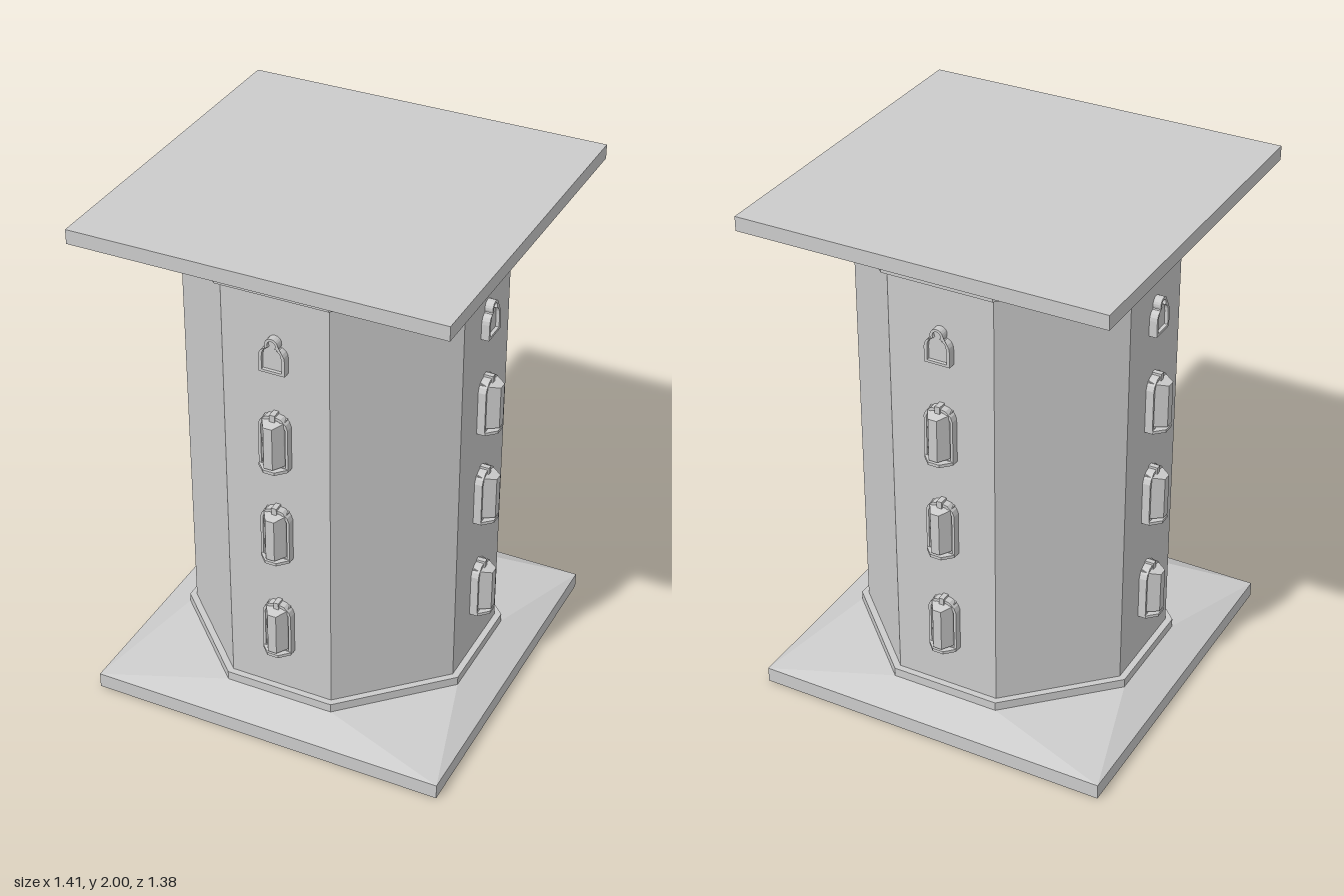
import * as THREE from 'three';

const mat = new THREE.MeshStandardMaterial({ color: 0xcccccc, flatShading: true, side: THREE.DoubleSide });

function add(parent, name, geometry, x = 0, y = 0, z = 0) {
  const mesh = new THREE.Mesh(geometry, mat);
  mesh.name = name;
  mesh.position.set(x, y, z);
  parent.add(mesh);
  return mesh;
}

// Eight-point ring: hx, hz are half extents, cx, cz half lengths of the straight sides
function ring(y, hx, hz, cx, cz) {
  return [[cx, hz], [hx, cz], [hx, -cz], [cx, -hz], [-cx, -hz], [-hx, -cz], [-hx, cz], [-cx, hz]]
    .map(([x, z]) => new THREE.Vector3(x, y, z));
}

// Capped, flat-shaded skin between a lower and an upper ring
function loft(lower, upper) {
  const pts = [];
  const tri = (a, b, c) => {
    const area = b.clone().sub(a).cross(c.clone().sub(a)).length();
    if (area > 1e-8) pts.push(a, b, c);
  };
  const n = lower.length;
  for (let i = 0; i < n; i++) {
    const j = (i + 1) % n;
    tri(lower[i], lower[j], upper[j]);
    tri(lower[i], upper[j], upper[i]);
    if (i > 0 && j > 0) {
      tri(upper[0], upper[i], upper[j]);
      tri(lower[0], lower[j], lower[i]);
    }
  }
  const g = new THREE.BufferGeometry().setFromPoints(pts);
  g.computeVertexNormals();
  return g;
}

// Closed outline mirrored about x = 0 from its right half (bottom to top)
function mirrored(half, ShapeType = THREE.Shape) {
  const left = half.filter(([x]) => x > 0).reverse().map(([x, y]) => [-x, y]);
  return new ShapeType([...half, ...left].map(([x, y]) => new THREE.Vector2(x, y)));
}

const extrude = (shape, depth) => new THREE.ExtrudeGeometry(shape, { depth, bevelEnabled: false });

// Flat-sided arch frame with a projecting bay, sill and keystone; origin at the wall, bottom centre
function bayWindow() {
  const g = new THREE.Group();
  g.name = 'bayWindow';
  const arch = [[0.057, 0], [0.057, 0.175], [0.05, 0.193], [0.03, 0.212], [0, 0.218]];
  const opening = [[0.047, 0.015], [0.047, 0.173], [0.041, 0.187], [0.025, 0.202], [0, 0.206]];
  const frame = mirrored(arch);
  frame.holes.push(mirrored(opening, THREE.Path));
  add(g, 'windowFrame', extrude(frame, 0.035), 0, 0, -0.005);
  add(g, 'windowPane', extrude(mirrored(opening), 0.012), 0, 0, -0.005);
  // Bay: narrow front face with two splayed sides, top falling slightly forward
  const plan = (y, drop) => [[-0.044, 0], [0.044, 0], [0.042, 0.03], [0.017, 0.07], [-0.017, 0.07], [-0.042, 0.03]]
    .map(([x, z]) => new THREE.Vector3(x, y - drop * z, z));
  add(g, 'bay', loft(plan(0.022, 0).reverse(), plan(0.205, 0.2).reverse()).scale(1, 1, 1));
  const sill = new THREE.Shape([[-0.057, 0], [0.057, 0], [0.057, -0.032], [0.022, -0.068], [-0.022, -0.068], [-0.057, -0.032]]
    .map(([x, y]) => new THREE.Vector2(x, y)));
  add(g, 'windowSill', extrude(sill, 0.012).rotateX(-Math.PI / 2));
  add(g, 'keystone', new THREE.BoxGeometry(0.02, 0.03, 0.035), 0, 0.21, 0.0175);
  return g;
}

// Small keyhole-shaped window: shouldered arch with a round head
function keyholeHalf(w, bottom, shoulder, neck, r, headY) {
  const pts = [[w, bottom], [w, shoulder]];
  for (let i = 1; i <= 4; i++) {
    const a = (i / 4) * Math.PI / 2;
    pts.push([neck + (w - neck) * Math.cos(a), shoulder + (headY - r * 0.6 - shoulder) * Math.sin(a)]);
  }
  for (let i = 0; i <= 6; i++) {
    const a = -0.5 + (i / 6) * (Math.PI / 2 + 0.5);
    pts.push([i === 6 ? 0 : r * Math.cos(a), headY + r * Math.sin(a)]);
  }
  return pts;
}

function keyholeWindow() {
  const g = new THREE.Group();
  g.name = 'keyholeWindow';
  const inner = keyholeHalf(0.038, 0.01, 0.06, 0.012, 0.016, 0.112);
  const frame = mirrored(keyholeHalf(0.05, 0, 0.062, 0.02, 0.026, 0.112));
  frame.holes.push(mirrored(inner, THREE.Path));
  add(g, 'keyholeFrame', extrude(frame, 0.035), 0, 0, -0.005);
  add(g, 'keyholePane', extrude(mirrored(inner), 0.022), 0, 0, -0.005);
  return g;
}

export function createModel() {
  const model = new THREE.Group();
  model.name = 'octagonalTower';
  const HX = 0.705, HZ = 0.69;
  const shaft = (y) => ring(y, 0.55, 0.535, 0.205, 0.2);
  const band = (y) => ring(y, 0.575, 0.56, 0.215, 0.21);
  const square = (y) => ring(y, HX, HZ, HX, HZ);

  // Base: slab, slope from square to octagon, band
  add(model, 'baseSlab', loft(square(0), square(0.06)));
  add(model, 'baseSlope', loft(square(0.06), band(0.12)));
  add(model, 'baseBand', loft(band(0.12), band(0.155)));

  add(model, 'shaft', loft(shaft(0.155), shaft(1.85)));

  // Crown: the base in reverse
  add(model, 'crownBand', loft(band(1.85), band(1.885)));
  add(model, 'crownSlope', loft(band(1.885), square(1.945)));
  add(model, 'crownSlab', loft(square(1.945), square(2)));

  // A column of windows on each of the four straight sides
  for (let side = 0; side < 4; side++) {
    const column = new THREE.Group();
    column.name = 'windowColumn';
    column.rotation.y = side * Math.PI / 2;
    const wall = side % 2 ? 0.55 : 0.535;
    for (const y of [0.34, 0.765, 1.16]) {
      const w = bayWindow();
      w.position.set(0, y, wall);
      column.add(w);
    }
    const top = keyholeWindow();
    top.position.set(0, 1.552, wall);
    column.add(top);
    model.add(column);
  }
  return model;
}
